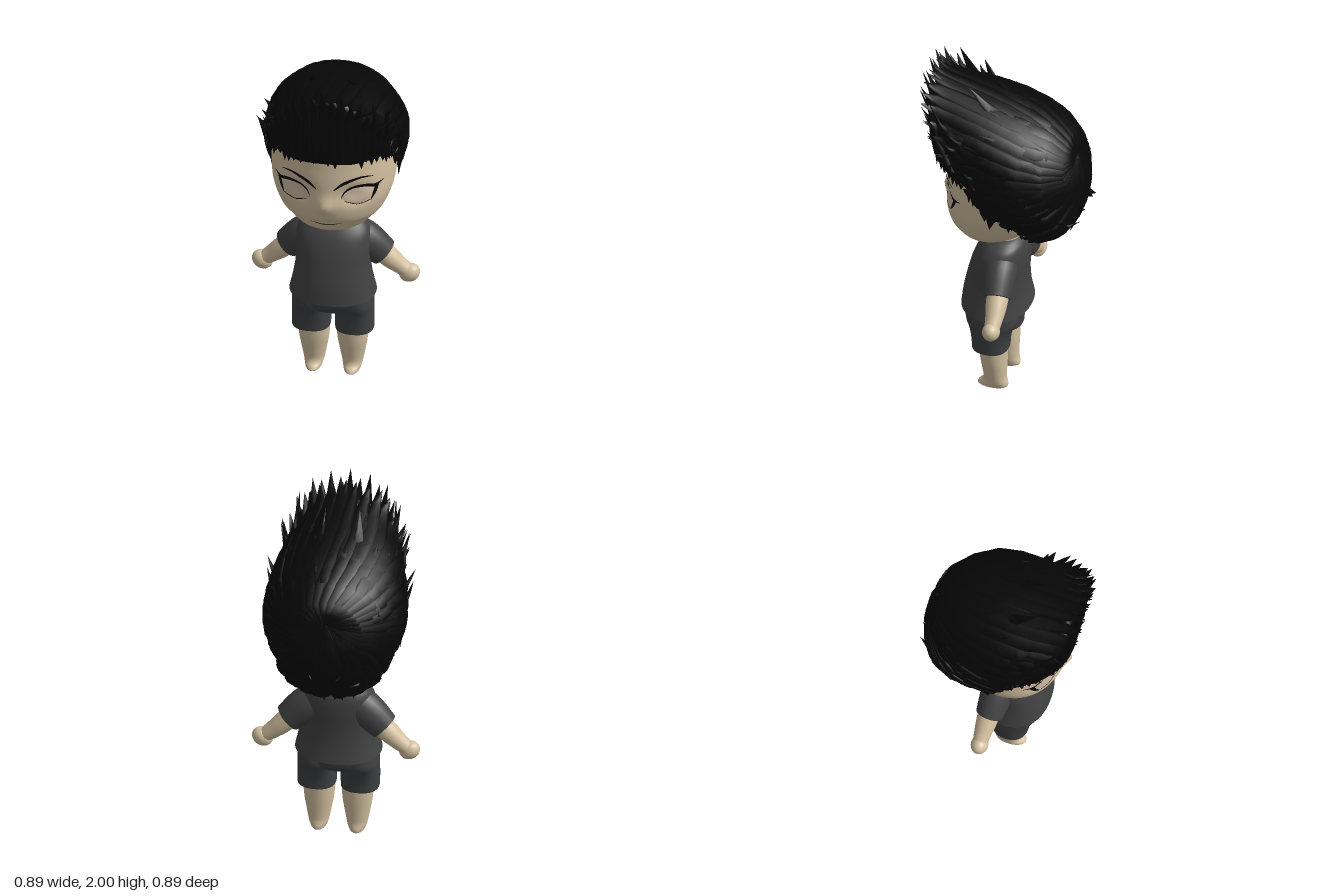
import * as THREE from 'three';
import { mergeGeometries } from 'three/addons/utils/BufferGeometryUtils.js';

const V = (x, y, z) => new THREE.Vector3(x, y, z);
const mat = (name, color, side = THREE.FrontSide) => {
  const m = new THREE.MeshStandardMaterial({ color, side });
  m.name = name;
  return m;
};

// small seeded random
let seed = 7;
const rnd = (a, b) => {
  seed = (seed * 16807) % 2147483647;
  return a + (b - a) * (seed / 2147483647);
};

// Catmull-Rom through rows of numbers, t counted in rows
function spline(rows, t) {
  const n = rows.length - 1;
  const i = Math.min(Math.floor(t), n - 1), f = t - i;
  const [a, b, c, d] = [-1, 0, 1, 2].map(k => rows[Math.max(0, Math.min(n, i + k))]);
  return b.map((_, k) => b[k] + 0.5 * f * (c[k] - a[k] + f * (2 * a[k] - 5 * b[k] + 4 * c[k] - d[k]
    + f * (3 * (b[k] - c[k]) + d[k] - a[k]))));
}

// closed surface over a series of loops, with flat end caps
function skinLoops(rings) {
  const n = rings[0].length, m = rings.length, pts = rings.flat(), idx = [];
  for (let i = 0; i < m - 1; i++) for (let j = 0; j < n; j++) {
    const a = i * n + j, b = i * n + (j + 1) % n;
    idx.push(a, a + n, b, b, a + n, b + n);
  }
  for (const [ring, first] of [[rings[0], true], [rings[m - 1], false]]) {
    const c = pts.length;
    const mid = ring.reduce((s, p) => s.add(p), V(0, 0, 0)).divideScalar(n);
    pts.push(mid, ...ring);
    for (let j = 0; j < n; j++) {
      const p = c + 1 + j, q = c + 1 + (j + 1) % n;
      idx.push(c, first ? p : q, first ? q : p);
    }
  }
  const g = new THREE.BufferGeometry().setFromPoints(pts);
  g.setIndex(idx);
  g.computeVertexNormals();
  return g;
}

// upright body form; rows are [y, half width, front z, back z]
function loft(rows, { cx = 0, e = 2, sub = 5, seg = 40, deform } = {}) {
  const rings = [], pw = v => Math.sign(v) * Math.abs(v) ** (2 / e);
  for (let k = 0; k <= (rows.length - 1) * sub; k++) {
    const [y, hw, zf, zb] = spline(rows, k / sub);
    rings.push(Array.from({ length: seg }, (_, j) => {
      const a = j / seg * Math.PI * 2, s = Math.sin(a);
      const p = V(cx + hw * pw(Math.cos(a)), y, (zf + zb) / 2 + (zf - zb) / 2 * pw(s));
      if (deform && s > 0) p.z += deform(p.x, y) * Math.min(1, s * 3);
      return p;
    }));
  }
  return skinLoops(rings);
}

// limb in the x-y plane; rows are [x, y, z, radius]
function limb(rows, side, flat = 1, sub = 5, seg = 24) {
  const at = t => { const r = spline(rows, t); return [V(r[0] * side, r[1], r[2]), r[3]]; };
  const end = rows.length - 1, rings = [];
  for (let k = 0; k <= end * sub; k++) {
    const t = k / sub, [p, r] = at(t);
    const T = at(Math.min(end, t + 0.05))[0].sub(at(Math.max(0, t - 0.05))[0]).normalize();
    const U = V(0, 0, 1).cross(T).normalize(), W = U.clone().cross(T);
    rings.push(Array.from({ length: seg }, (_, j) => {
      const a = j / seg * Math.PI * 2;
      return p.clone().addScaledVector(U, r * Math.cos(a)).addScaledVector(W, r * flat * Math.sin(a));
    }));
  }
  return skinLoops(rings);
}

// head form with eye sockets, nose and mouth crease
const headRows = [[0.965, 0.05, 0.15, 0.02], [0.975, 0.12, 0.2, -0.03], [1.0, 0.185, 0.25, -0.08],
  [1.05, 0.24, 0.28, -0.15], [1.1, 0.28, 0.305, -0.19], [1.2, 0.318, 0.325, -0.25], [1.3, 0.332, 0.322, -0.32],
  [1.4, 0.333, 0.315, -0.35], [1.5, 0.325, 0.305, -0.33], [1.6, 0.28, 0.26, -0.28], [1.66, 0.2, 0.17, -0.2], [1.69, 0.04, 0.04, -0.05]];
const bump = (x, y, cx, cy, rx, ry) => Math.exp(-(((x - cx) / rx) ** 2) - ((y - cy) / ry) ** 2);
const faceRelief = (x, y) => -0.035 * bump(Math.abs(x), y, 0.15, 1.255, 0.075, 0.06)
  + 0.026 * bump(x, y, 0, 1.19, 0.035, 0.045) - 0.008 * bump(x, y, 0, 1.075, 0.08, 0.015);
function faceZ(x, y) {
  let lo = 1, hi = headRows.length - 1;
  for (let i = 0; i < 30; i++) {
    const m = (lo + hi) / 2;
    if (spline(headRows, m)[0] < y) lo = m; else hi = m;
  }
  const [, hw, zf, zb] = spline(headRows, lo);
  return (zf + zb) / 2 + (zf - zb) / 2 * Math.sqrt(Math.max(0, 1 - (x / hw) ** 2)) + faceRelief(x, y);
}

// thin painted stroke lying on the face; rows are [x, y, width]
function stroke(rows, side) {
  const pts = [], idx = [], N = 28, end = rows.length - 1;
  for (let k = 0; k <= N; k++) {
    const t = k / N * end, [x, y, w] = spline(rows, t);
    const a = spline(rows, Math.max(0, t - 0.05)), b = spline(rows, Math.min(end, t + 0.05));
    const d = new THREE.Vector2(a[1] - b[1], b[0] - a[0]).setLength(Math.max(w, 0.001) / 2);
    for (const s of [1, -1]) {
      const px = (x + d.x * s) * side, py = y + d.y * s;
      pts.push(V(px, py, faceZ(px, py) + 0.009));
    }
    if (k < N) idx.push(2 * k, 2 * k + 1, 2 * k + 2, 2 * k + 1, 2 * k + 3, 2 * k + 2);
  }
  const g = new THREE.BufferGeometry().setFromPoints(pts);
  g.setIndex(side > 0 ? idx : idx.reverse());
  g.computeVertexNormals();
  return g;
}

// hair shell: loops around the crown, half of each from the top middle to the nape
const crown = V(0, 1.56, -0.38), hairCentre = V(0, 1.42, -0.02);
const hairLoops = [
  [[0, 1.66, -.34], [.1, 1.64, -.34], [.16, 1.58, -.35], [.18, 1.52, -.36], [.16, 1.45, -.39], [.1, 1.42, -.41], [0, 1.41, -.425]],
  [[0, 1.75, -.18], [.15, 1.72, -.18], [.27, 1.63, -.18], [.33, 1.51, -.19], [.315, 1.38, -.25], [.19, 1.28, -.37], [0, 1.27, -.415]],
  [[0, 1.81, .04], [.17, 1.78, .04], [.29, 1.67, .02], [.348, 1.48, -.02], [.338, 1.34, -.11], [.21, 1.18, -.32], [0, 1.14, -.37]],
  [[0, 1.85, .25], [.16, 1.81, .24], [.28, 1.69, .18], [.345, 1.47, .08], [.335, 1.3, -.04], [.22, 1.12, -.24], [0, 1.07, -.31]],
  [[0, 1.86, .36], [.15, 1.82, .355], [.262, 1.68, .28], [.332, 1.48, .14], [.33, 1.3, -.01], [.205, 1.1, -.22], [0, 1.05, -.28]],
  [[0, 1.49, .36], [.15, 1.49, .34], [.26, 1.49, .255], [.32, 1.46, .14], [.31, 1.32, -.01], [.18, 1.11, -.2], [0, 1.07, -.24]],
].map(half => {
  const pts = half.map(p => V(...p));
  const other = pts.slice(1, 6).reverse().map(p => V(-p.x, p.y, p.z));
  return new THREE.CatmullRomCurve3([...pts, ...other], true, 'catmullrom', 0.5);
});
const strand = u => new THREE.CatmullRomCurve3(
  [crown, ...hairLoops.map(c => c.getPoint(((u % 12 + 12) % 12) / 12))], false, 'catmullrom', 0.5);
const outward = p => p.clone().sub(hairCentre).normalize();
const onHair = (u, v, lift = 0.008) => {
  const p = strand(u).getPoint(v);
  return p.addScaledVector(outward(p), lift);
};

function hairShell() {
  const rings = [], n = 72;
  for (let k = 0; k <= 30; k++)
    rings.push(Array.from({ length: n }, (_, j) => strand(j / n * 12).getPoint(Math.max(k / 30, 0.004))));
  rings.push(rings[30].map(p => p.clone().lerp(hairCentre, 0.2)));
  return skinLoops(rings);
}

// one flattened lock along a path, narrow at the root and pointed at the tip
function lock(path, w, th) {
  const curve = new THREE.CatmullRomCurve3(path), rings = [], N = 10;
  for (let k = 0; k <= N; k++) {
    const t = k / N, p = curve.getPoint(t), T = curve.getTangent(t);
    const U = outward(p).cross(T).normalize(), W = U.clone().cross(T);
    const grow = 0.12 + 0.88 * Math.sin(Math.min(t / 0.5, 1) * Math.PI / 2);
    const s = Math.max(0.01, grow * (t < 0.55 ? 1 : 1 - ((t - 0.55) / 0.45) ** 1.2));
    rings.push(Array.from({ length: 6 }, (_, j) => {
      const a = j / 6 * Math.PI * 2;
      return p.clone().addScaledVector(U, w * s * Math.cos(a)).addScaledVector(W, th * s * Math.sin(a));
    }));
  }
  return skinLoops(rings);
}

function hairLocks() {
  const out = [], ring = (n, f) => { for (let i = 0; i < n; i++) f((i + 0.5) / n * 12 + rnd(-0.06, 0.06)); };
  const frontness = u => THREE.MathUtils.smoothstep(2.9 - Math.min(u, 12 - u), 0, 0.6);
  const tipFrom = (u, v, len) => {
    const c = strand(u), p = onHair(u, v), f = frontness(u);
    const d = c.getPoint(v).sub(c.getPoint(v - 0.1)).setLength(len * 0.5 * (1 - f));
    return p.add(d).add(V(p.x * 0.12, len, 0.07).multiplyScalar(f));
  };
  // long locks swirling from the crown to the rim, in two layers
  for (const start of [0.01, 0.13]) ring(32, u => {
    const path = [0, 0.2, 0.45, 0.7, 1].map(k => {
      const v = start + (0.8 - start) * k;
      return onHair(u + 1.3 * (1 - v) ** 3, v);
    });
    out.push(lock([...path, tipFrom(u, 0.82, rnd(0.03, 0.06))], 0.05, 0.015));
  });
  // shorter lifted locks
  ring(26, u => {
    const v = rnd(0.45, 0.6), p = [0.38, 0.2, 0.05].map(d => onHair(u, v - d, 0.008));
    out.push(lock([...p, onHair(u, v + 0.06, rnd(0.012, 0.03))], 0.045, 0.014));
  });
  // tall spikes on the front of the quiff
  for (let i = -8; i <= 8; i++) {
    const u = i * 0.3, p = [0.99, 0.93, 0.87].map(v => onHair(u, v, 0.016));
    const len = i === 0 ? 0.135 : i % 2 ? 0.085 : 0.125;
    out.push(lock([...p, tipFrom((u + 12) % 12, 0.83, len)], 0.042, 0.018));
  }
  // jagged hairline
  ring(50, u => {
    const p = [0.86, 0.93, 0.98].map(v => onHair(u, v, 0.008));
    const tip = p[2].clone().add(V(0, -rnd(0.03, 0.075), 0));
    out.push(lock([...p, tip], 0.03, 0.012));
  });
  // loose tufts: [ring position, reach, tip], mirrored
  for (const s of [1, -1]) for (const [u, v, tip] of [
    [0.6, 0.56, [0.09, 1.925, 0.185]], [1.9, 0.8, [0.255, 1.9, 0.35]], [2.1, 0.7, [0.335, 1.79, 0.24]],
    [2.3, 0.78, [0.345, 1.74, 0.27]], [2.8, 0.7, [0.395, 1.61, 0.14]], [3.1, 0.72, [0.39, 1.56, 0.1]],
    [4, 0.78, [0.337, 1.21, -0.01]], [3.8, 0.8, [0.34, 1.26, 0.015]], [4.9, 0.8, [0.23, 1.09, -0.2]],
    [5.2, 0.5, [0.13, 1.22, -0.445]], [5.6, 0.4, [0.06, 1.25, -0.45]],
  ]) {
    const p = [0.4, 0.2, 0.06].map(d => onHair(u * s, v - d));
    out.push(lock([...p, V(tip[0] * s, tip[1], tip[2])], 0.042, 0.016));
  }
  return mergeGeometries(out);
}

export function createModel() {
  seed = 7;
  const group = new THREE.Group();
  const skin = mat('skin', 0xd3c0a0), hair = mat('hair black', 0x070707), shirt = mat('shirt charcoal', 0x424242);
  const shorts = mat('shorts charcoal', 0x3f4042), eye = mat('eye beige', 0xcfbba5);
  const ink = mat('ink black', 0x070707, THREE.DoubleSide), lip = mat('mouth brown', 0x54432f, THREE.DoubleSide);
  const add = (name, geo, m) => {
    const mesh = new THREE.Mesh(geo, m);
    mesh.name = name;
    group.add(mesh);
    return mesh;
  };

  // head and hair
  add('head', loft(headRows, { seg: 80, sub: 7, deform: faceRelief }), skin);
  add('neck', loft([[0.9, 0.1, 0.08, -0.075], [0.96, 0.094, 0.08, -0.075], [1.02, 0.1, 0.085, -0.08]]), skin);
  add('hairShell', hairShell(), hair);
  add('hairLocks', hairLocks(), hair);
  add('mouth', stroke([[-0.085, 1.08, 0.002], [-0.04, 1.066, 0.008], [0, 1.062, 0.009], [0.04, 1.066, 0.008], [0.085, 1.08, 0.002]], 1), lip);

  // clothes on the body
  add('shirtBody', loft([[0.505, 0.23, 0.238, -0.132], [0.6, 0.21, 0.227, -0.115], [0.7, 0.197, 0.207, -0.11],
    [0.8, 0.2, 0.18, -0.115], [0.87, 0.195, 0.15, -0.115], [0.92, 0.167, 0.115, -0.105],
    [0.948, 0.125, 0.09, -0.083], [0.958, 0.098, 0.078, -0.068]], { e: 2.2 }), shirt);
  add('shortsSeat', loft([[0.385, 0.06, 0.1, 0], [0.4, 0.13, 0.145, -0.04], [0.425, 0.2, 0.172, -0.07],
    [0.46, 0.217, 0.195, -0.095], [0.52, 0.215, 0.208, -0.1]], { e: 2.3 }), shorts);

  for (const s of [1, -1]) {
    const n = s > 0 ? 'left' : 'right';
    // face details
    const disc = new THREE.RingGeometry(0.001, 1, 36, 6), pos = disc.attributes.position;
    for (let i = 0; i < pos.count; i++) {
      const px = pos.getX(i), py = pos.getY(i), x = s * 0.165 + px * 0.08, y = 1.255 + py * 0.053;
      pos.setXYZ(i, x, y, faceZ(x, y) + 0.003 + 0.016 * (1 - px * px - py * py));
    }
    disc.computeVertexNormals();
    add(n + 'Eye', disc, eye);
    add(n + 'UpperLash', stroke([[0.288, 1.305, 0.003], [0.25, 1.293, 0.018], [0.2, 1.308, 0.02],
      [0.14, 1.304, 0.017], [0.1, 1.278, 0.01], [0.083, 1.243, 0.002]], s), ink);
    add(n + 'OuterLash', stroke([[0.26, 1.295, 0.018], [0.248, 1.25, 0.016], [0.23, 1.21, 0.003]], s), ink);
    add(n + 'LowerLid', stroke([[0.23, 1.213, 0.004], [0.165, 1.201, 0.004], [0.1, 1.225, 0.003]], s), ink);
    add(n + 'Brow', stroke([[0.242, 1.355, 0.003], [0.18, 1.366, 0.012], [0.1, 1.343, 0.019], [0.047, 1.303, 0.005]], s), ink);

    // sleeve, arm and hand
    add(n + 'Sleeve', limb([[0.05, 0.855, 0, 0.085], [0.15, 0.8, -0.01, 0.098], [0.255, 0.705, -0.025, 0.081]], s, 0.9), shirt);
    add(n + 'Arm', limb([[0.21, 0.745, -0.024, 0.06], [0.285, 0.672, -0.031, 0.056], [0.335, 0.627, -0.036, 0.047], [0.38, 0.59, -0.038, 0.04]], s), skin);
    const hand = add(n + 'Hand', new THREE.SphereGeometry(1, 24, 16), skin);
    hand.scale.set(0.058, 0.05, 0.046);
    hand.position.set(s * 0.391, 0.58, -0.038);
    hand.rotation.z = s * 0.6;

    // shorts leg, bare leg and foot
    add(n + 'ShortsLeg', loft([[0.277, 0.102, 0.15, -0.045], [0.34, 0.103, 0.155, -0.05], [0.4, 0.102, 0.166, -0.066],
      [0.45, 0.1, 0.185, -0.09], [0.5, 0.095, 0.19, -0.09]], { cx: s * 0.115, e: 2.4 }), shorts);
    add(n + 'Leg', loft([[0.003, 0.03, 0.11, -0.01], [0.012, 0.042, 0.13, -0.032], [0.028, 0.048, 0.122, -0.035],
      [0.045, 0.053, 0.104, -0.031], [0.07, 0.058, 0.096, -0.026], [0.12, 0.067, 0.102, -0.027],
      [0.2, 0.08, 0.114, -0.03], [0.3, 0.086, 0.12, -0.032]], { cx: s * 0.102, e: 2.1 }), skin);
  }
  return group;
}
